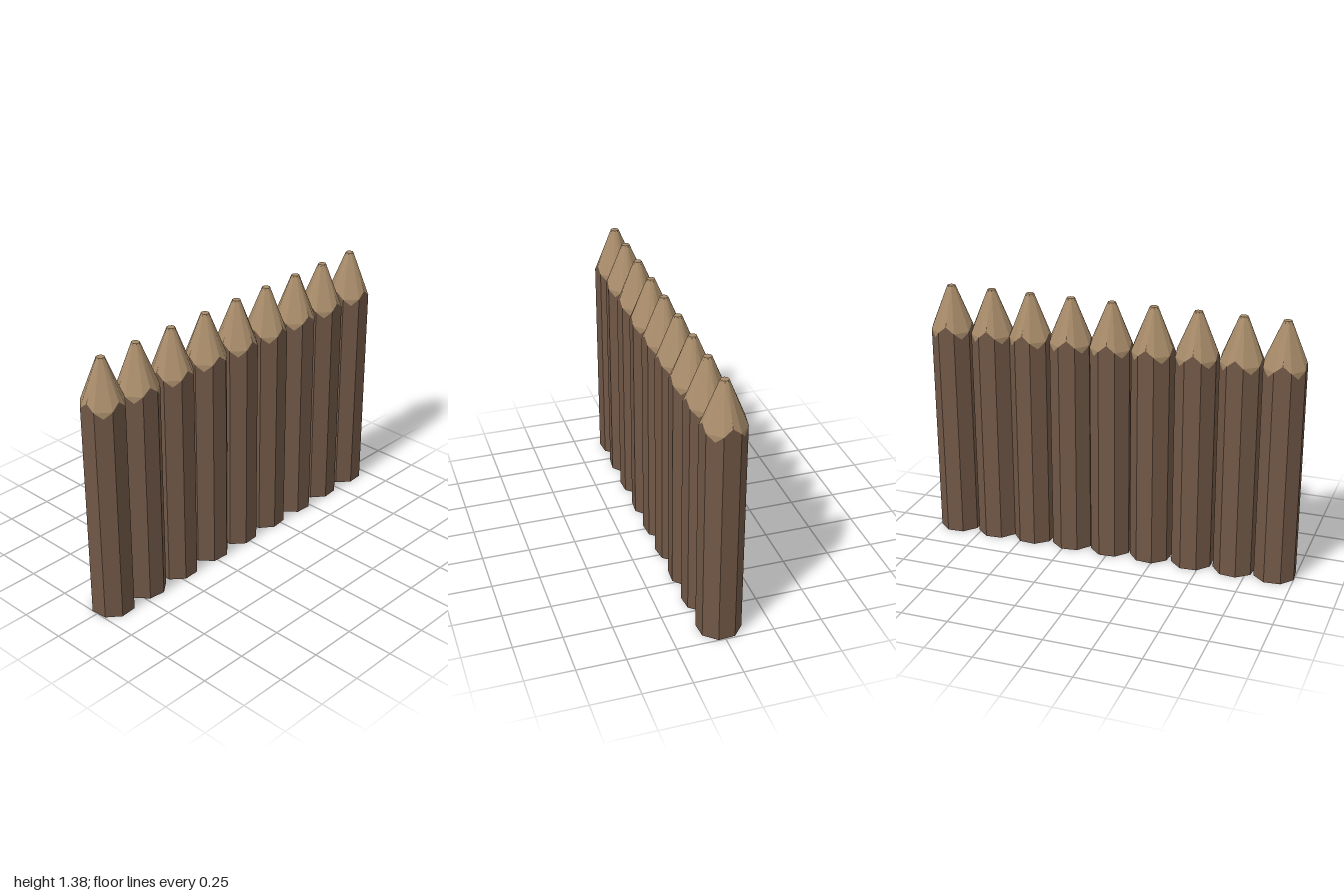
import * as THREE from 'three';

const SIDES = 8, R = 0.113, TIP_R = 0.021;
const SHOULDER = 1.145, ZIGZAG = 0.035, TOP = 1.38;

const barkMaterial = new THREE.MeshStandardMaterial({ color: 0x705746, flatShading: true });
const woodMaterial = new THREE.MeshStandardMaterial({ color: 0xa88c6a, flatShading: true });

const ring = (i, r, y) => {
  const a = (i / SIDES) * Math.PI * 2;
  return [r * Math.sin(a), y, r * Math.cos(a)];
};

function meshFromTriangles(name, triangles, material) {
  const geometry = new THREE.BufferGeometry();
  geometry.setAttribute('position', new THREE.Float32BufferAttribute(triangles.flat(2), 3));
  geometry.computeVertexNormals();
  const mesh = new THREE.Mesh(geometry, material);
  mesh.name = name;
  return mesh;
}

// One log: an octagonal shaft cut to a zigzag, carrying a sharpened point with a blunt end
function createStake() {
  const bark = [], wood = [];
  const apothem = R * Math.cos(Math.PI / SIDES);
  for (let i = 0; i < SIDES; i++) {
    const l = i - 0.5, r = i + 0.5;
    const raised = i % 2 === 0;
    const b0 = ring(l, R, 0), b1 = ring(r, R, 0);
    const c0 = ring(l, R, SHOULDER), c1 = ring(r, R, SHOULDER);
    const m = ring(i, apothem, SHOULDER + (raised ? ZIGZAG : -ZIGZAG));
    const t0 = ring(l, TIP_R, TOP), t1 = ring(r, TIP_R, TOP);

    // shaft side and underside
    bark.push([b0, b1, m], [b1, c1, m], [b0, m, c0], [[0, 0, 0], b1, b0]);

    // cut facet: bark runs up into it, or bare wood runs down the side
    if (raised) wood.push([c0, m, t0], [m, t1, t0], [m, c1, t1]);
    else wood.push([c0, m, c1], [c0, c1, t1], [c0, t1, t0]);
    wood.push([[0, TOP, 0], t0, t1]);
  }
  const stake = new THREE.Group();
  stake.add(meshFromTriangles('shaft', bark, barkMaterial), meshFromTriangles('sharpenedPoint', wood, woodMaterial));
  return stake;
}

export function createModel() {
  const model = new THREE.Group();
  model.name = 'palisade';
  // position along the row and a small turn in degrees for each log
  const row = [
    [-0.893, 5], [-0.677, -6], [-0.448, 3], [-0.218, -4], [0.004, 4],
    [0.224, 7], [0.447, -4], [0.662, 5], [0.89, 4],
  ];
  row.forEach(([x, turn], i) => {
    const stake = createStake();
    stake.name = `stake${i + 1}`;
    stake.position.x = x;
    stake.rotation.y = THREE.MathUtils.degToRad(turn);
    model.add(stake);
  });
  return model;
}
